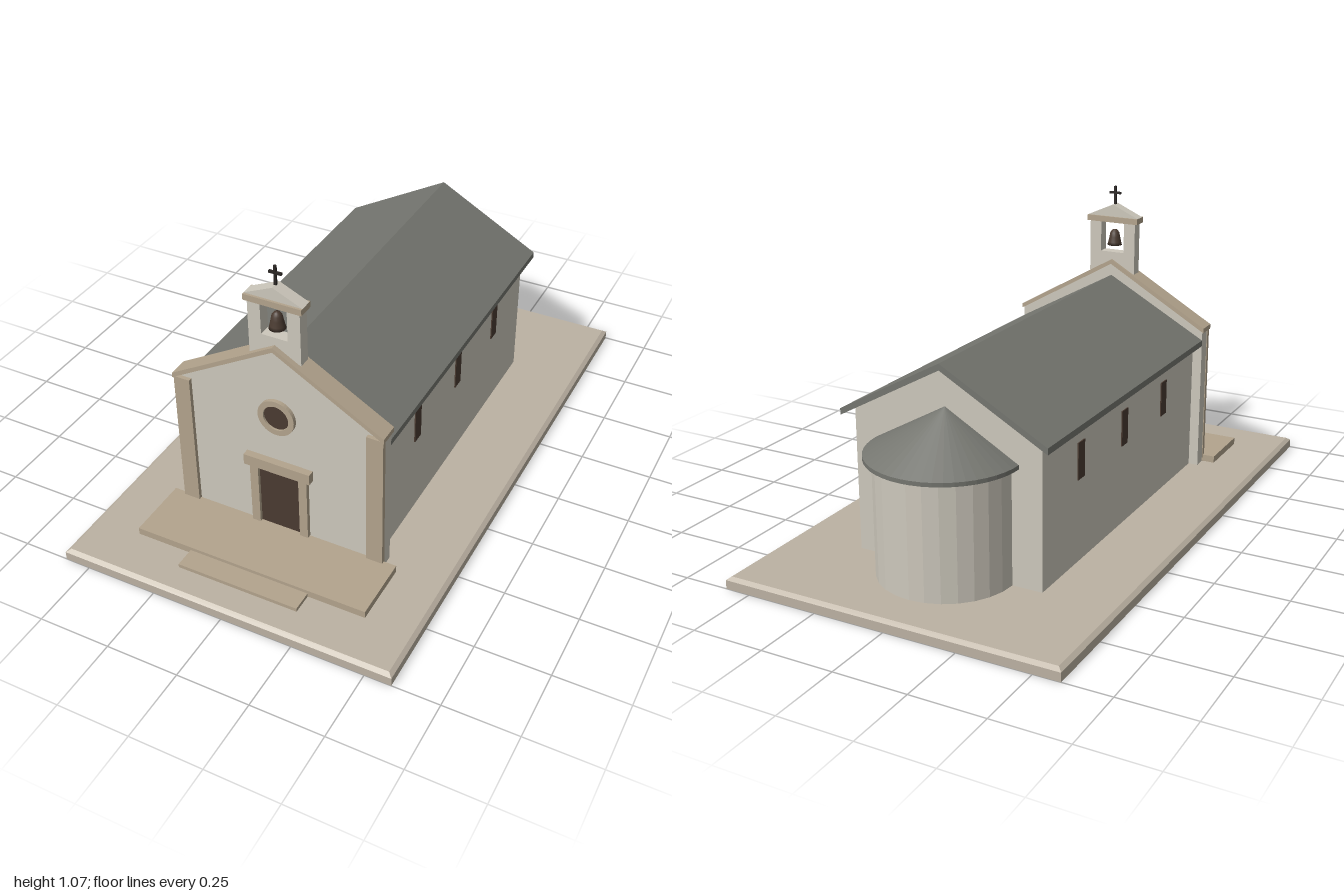
import * as THREE from 'three';

const mat = (color, extra = {}) => new THREE.MeshStandardMaterial({ color, ...extra });

export function createModel() {
  const model = new THREE.Group();
  const wall = mat(0xcdc8bc);
  const trim = mat(0xb3a48d);
  const paving = mat(0xbcb2a3);
  const tile = mat(0x757670);
  const dark = mat(0x4a3b31);
  const iron = mat(0x2b2725);

  const add = (name, geometry, material, x = 0, y = 0, z = 0) => {
    const mesh = new THREE.Mesh(geometry, material);
    mesh.name = name;
    mesh.position.set(x, y, z);
    model.add(mesh);
    return mesh;
  };

  // Box given by its lower and upper limits on each axis
  const block = (name, material, x0, x1, y0, y1, z0, z1) =>
    add(name, new THREE.BoxGeometry(x1 - x0, y1 - y0, z1 - z0), material,
      (x0 + x1) / 2, (y0 + y1) / 2, (z0 + z1) / 2);

  // Front outline extruded from z0 to z1
  const prism = (name, material, points, z0, z1) => {
    const shape = new THREE.Shape(points.map(([x, y]) => new THREE.Vector2(x, y)));
    const geometry = new THREE.ExtrudeGeometry(shape, { depth: z1 - z0, bevelEnabled: false });
    return add(name, geometry, material, 0, 0, z0);
  };

  const gable = (w, y0, eave, ridge) => [[-w, y0], [w, y0], [w, eave], [0, ridge], [-w, eave]];
  const chevron = (w, eave, ridge, t) =>
    [[-w, eave - t], [0, ridge - t], [w, eave - t], [w, eave], [0, ridge], [-w, eave]];

  // Ground slab with a chamfered top edge
  block('groundSlab', paving, -0.59, 0.59, 0, 0.03, -1, 1);
  const top = new THREE.BoxGeometry(1.18, 0.01, 2).toNonIndexed();
  const p = top.attributes.position;
  for (let i = 0; i < p.count; i++) {
    if (p.getY(i) > 0) {
      p.setX(i, p.getX(i) - Math.sign(p.getX(i)) * 0.014);
      p.setZ(i, p.getZ(i) - Math.sign(p.getZ(i)) * 0.014);
    }
  }
  top.computeVertexNormals();
  add('groundSlabChamfer', top, paving, 0, 0.035, 0);

  // Entrance steps
  block('entrancePlatform', trim, -0.417, 0.417, 0.04, 0.065, 0.605, 0.828);
  block('lowerStep', trim, -0.216, 0.216, 0.04, 0.053, 0.82, 0.9);

  // Nave and its roof
  prism('naveWalls', wall, gable(0.335, 0.04, 0.53, 0.715), -0.628, 0.56);
  prism('naveRoof', tile, chevron(0.37, 0.531, 0.735, 0.022), -0.66, 0.556);

  // Narrow side windows
  for (const side of [-1, 1]) {
    for (const z of [0.283, -0.045, -0.371]) {
      add('sideWindow', new THREE.BoxGeometry(0.008, 0.125, 0.045), dark, side * 0.335, 0.3875, z);
    }
  }

  // Facade with coping and corner pilasters
  prism('facade', wall, gable(0.37, 0.04, 0.565, 0.778), 0.556, 0.603);
  prism('facadeCoping', trim, chevron(0.376, 0.578, 0.795, 0.017), 0.55, 0.62);
  for (const side of [-1, 1]) {
    add('pilaster', new THREE.BoxGeometry(0.058, 0.525, 0.016), trim, side * 0.3435, 0.3025, 0.609);
  }

  // Doorway
  block('door', dark, -0.075, 0.075, 0.065, 0.306, 0.6, 0.607);
  for (const side of [-1, 1]) {
    add('doorJamb', new THREE.BoxGeometry(0.03, 0.241, 0.018), trim, side * 0.089, 0.1855, 0.61);
  }
  block('doorLintel', trim, -0.12, 0.12, 0.305, 0.344, 0.6, 0.628);

  // Round window
  const ring = new THREE.Shape().absarc(0, 0, 0.065, 0, Math.PI * 2, false);
  ring.holes.push(new THREE.Path().absarc(0, 0, 0.045, 0, Math.PI * 2, true));
  add('roundWindowFrame', new THREE.ExtrudeGeometry(ring,
    { depth: 0.017, bevelEnabled: false, curveSegments: 20 }), trim, 0, 0.523, 0.6);
  const pane = new THREE.CylinderGeometry(0.046, 0.046, 0.01, 32).rotateX(Math.PI / 2);
  add('roundWindowPane', pane, dark, 0, 0.523, 0.605);

  // Bell gable: open arch, cap and pediment
  prism('bellGable', wall, [[-0.09, 0.745], [0.09, 0.745], [0.09, 0.935], [0.046, 0.935],
    [0.046, 0.822], [-0.046, 0.822], [-0.046, 0.935], [-0.09, 0.935]], 0.56, 0.602);
  block('bellGableCap', trim, -0.1, 0.1, 0.934, 0.955, 0.554, 0.61);
  prism('bellGablePediment', wall, [[-0.1, 0.955], [0.1, 0.955], [0, 1.0]], 0.56, 0.602);

  // Bell
  const bellProfile = [[0, 0], [0.027, 0], [0.024, 0.012], [0.02, 0.03], [0.017, 0.046],
    [0.01, 0.056], [0, 0.059]].map(([x, y]) => new THREE.Vector2(x, y));
  add('bell', new THREE.LatheGeometry(bellProfile, 20), mat(0x4a3b31, { side: THREE.DoubleSide }),
    0, 0.846, 0.581);

  // Cross
  block('crossUpright', iron, -0.004, 0.004, 0.995, 1.066, 0.577, 0.585);
  block('crossArm', iron, -0.022, 0.022, 1.037, 1.045, 0.577, 0.585);

  // Rounded apse behind the nave, with a half-cone roof
  const half = [Math.PI / 2, Math.PI];
  const apseWall = new THREE.CylinderGeometry(0.23, 0.23, 0.395, 14, 1, true, ...half);
  add('apseWall', apseWall, mat(0xcdc8bc, { flatShading: true, side: THREE.DoubleSide }),
    0, 0.2375, -0.628);
  const apseTile = mat(0x757670, { flatShading: true, side: THREE.DoubleSide });
  add('apseRoof', new THREE.ConeGeometry(0.256, 0.144, 24, 1, true, ...half), apseTile,
    0, 0.518, -0.63);
  add('apseEave', new THREE.CylinderGeometry(0.256, 0.256, 0.014, 24, 1, false, ...half), apseTile,
    0, 0.439, -0.63);

  return model;
}
